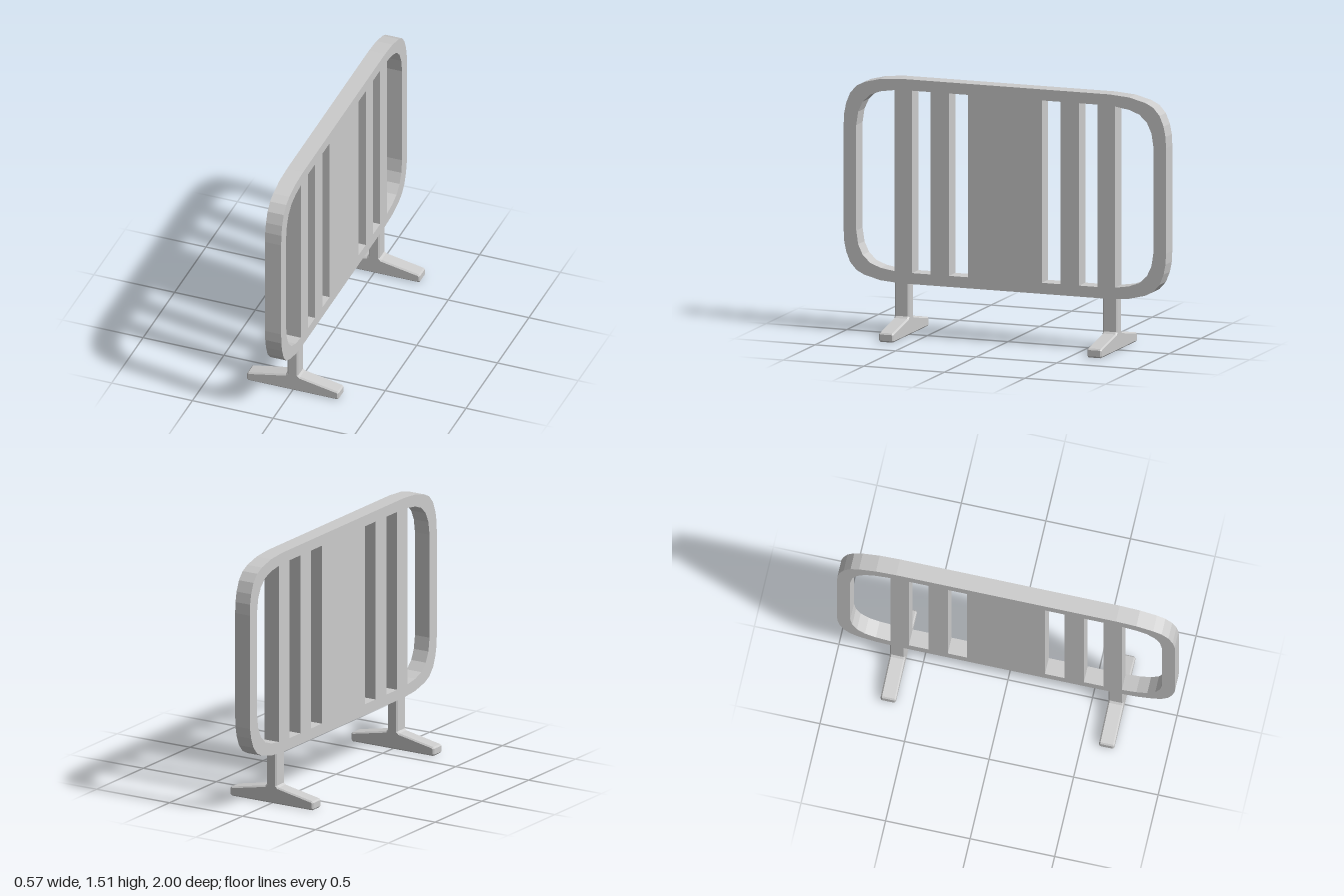
import * as THREE from 'three';

const MID = 0.907; // height of the panel's centre line

const material = new THREE.MeshStandardMaterial({ color: 0xcccccc, flatShading: true });
const toPoints = (list) => list.map(([a, b]) => new THREE.Vector2(a, b));

// Mirror a top quarter curve (z, height above centre) downwards, giving one side
const mirrorDown = (curve) => [...curve, ...curve.map(([z, h]) => [z, -h]).reverse()];

function createPanel() {
  // Rounded outline, built from one corner mirrored four ways, anticlockwise
  const corner = [[0.65, 0.601], [0.77, 0.592], [0.87, 0.567], [0.92, 0.542], [0.96, 0.497], [0.985, 0.435], [0.997, 0.375], [1, 0.31]];
  const side = mirrorDown(corner);
  const outline = [...side, ...side.map(([z, h]) => [-z, -h])].reverse();
  const shape = new THREE.Shape(toPoints(outline));

  // Rounded end openings and two straight slots on each side
  const endCurve = [[0.685, 0.532], [0.77, 0.519], [0.835, 0.495], [0.882, 0.45], [0.91, 0.39], [0.922, 0.31]];
  const slot = (inner, outer) => mirrorDown([[inner, 0.536], [outer, 0.536]]);
  const openings = [mirrorDown(endCurve), slot(0.23, 0.345), slot(0.46, 0.575)];
  for (const s of [1, -1]) {
    for (const opening of openings) {
      shape.holes.push(new THREE.Path(toPoints(opening.map(([z, h]) => [s * z, h]))));
    }
  }

  const geometry = new THREE.ExtrudeGeometry(shape, { depth: 0.1, bevelEnabled: false });
  geometry.translate(0, MID, -0.05).rotateY(-Math.PI / 2);
  const panel = new THREE.Mesh(geometry, material);
  panel.name = 'barrierPanel';
  return panel;
}

function createFoot() {
  // Upright stem flaring into two tapered toes with chamfered ends
  const half = [[0.275, 0], [0.284, 0.009], [0.284, 0.045], [0.276, 0.054], [0.045, 0.099], [0.034, 0.11], [0.034, 0.33]];
  const outline = [...half, ...half.map(([x, y]) => [-x, y]).reverse()];
  const bevel = 0.008;
  const geometry = new THREE.ExtrudeGeometry(new THREE.Shape(toPoints(outline)), {
    depth: 0.09 - 2 * bevel,
    bevelThickness: bevel,
    bevelSize: bevel,
    bevelOffset: -bevel,
    bevelSegments: 1,
  });
  geometry.translate(0, 0, -0.045 + bevel);
  return new THREE.Mesh(geometry, material);
}

export function createModel() {
  const model = new THREE.Group();
  model.name = 'crowdBarrier';
  model.add(createPanel());

  for (const [name, z] of [['frontFoot', 0.646], ['backFoot', -0.646]]) {
    const foot = createFoot();
    foot.name = name;
    foot.position.z = z;
    model.add(foot);
  }
  return model;
}
